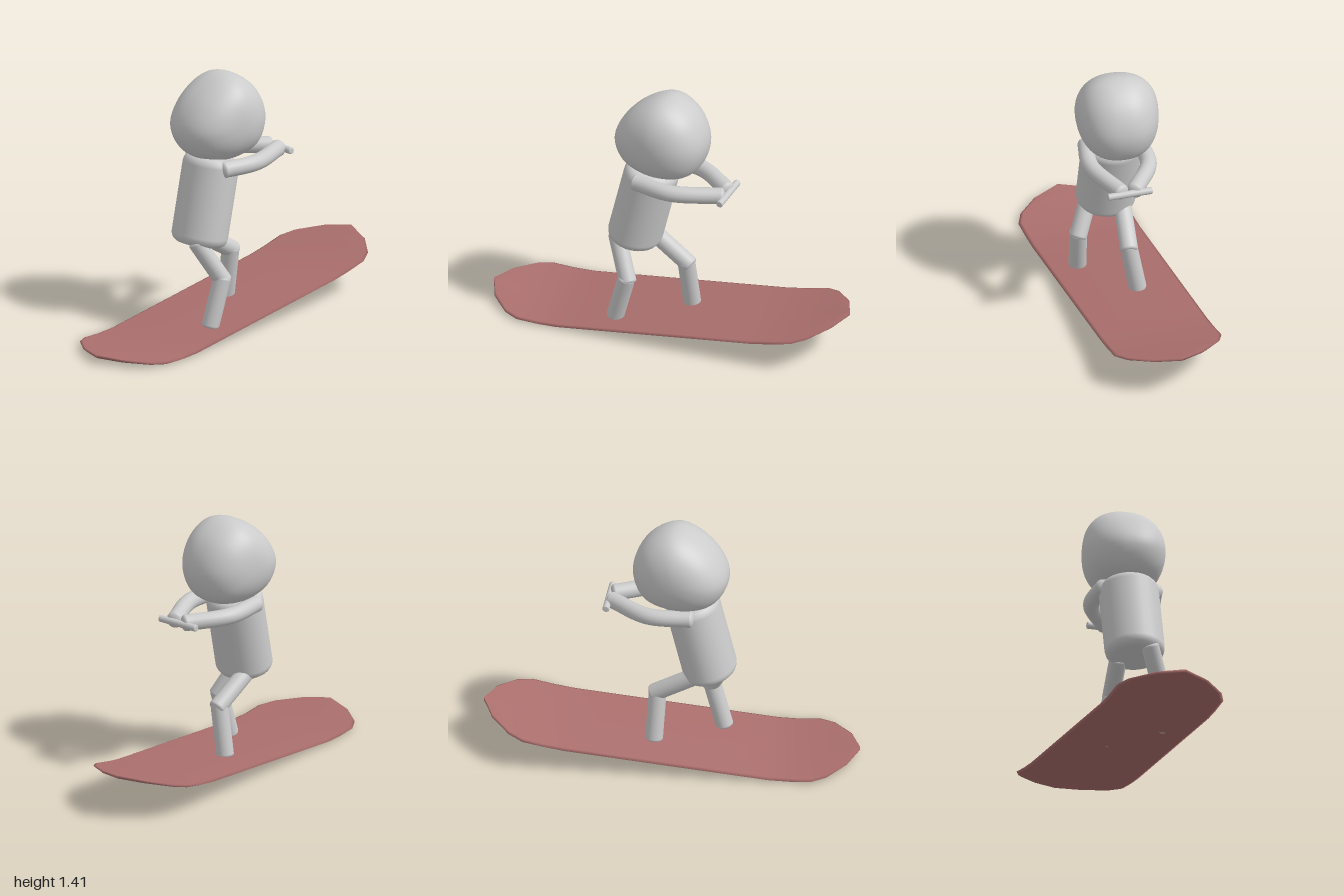
import * as THREE from 'three';
import { mergeVertices } from 'three/addons/utils/BufferGeometryUtils.js';

const grey = new THREE.MeshStandardMaterial({ color: 0xcccccc });
const red = new THREE.MeshStandardMaterial({ color: 0xaa6f6d });
const V = (x, y, z) => new THREE.Vector3(x, y, z);

// Merges seams so the surface shades smoothly
function smooth(geo) {
  geo.deleteAttribute('uv');
  geo.deleteAttribute('normal');
  const merged = mergeVertices(geo, 1e-5);
  merged.computeVertexNormals();
  return merged;
}

// Cylinder from a to b with softly rounded rims
function rod(name, a, b, r, rim, flatten = 1) {
  const len = a.distanceTo(b);
  const pts = [new THREE.Vector2(0, 0)];
  for (const [y0, start] of [[rim, -Math.PI / 2], [len - rim, 0]]) {
    for (let i = 0; i <= 4; i++) {
      const t = start + (i / 4) * Math.PI / 2;
      pts.push(new THREE.Vector2(r - rim + rim * Math.cos(t), y0 + rim * Math.sin(t)));
    }
  }
  pts.push(new THREE.Vector2(0, len));
  const geo = new THREE.LatheGeometry(pts, 28);
  geo.scale(flatten, 1, 1);
  const mesh = new THREE.Mesh(geo, grey);
  mesh.name = name;
  mesh.position.copy(a);
  mesh.quaternion.setFromUnitVectors(V(0, 1, 0), b.clone().sub(a).normalize());
  return mesh;
}

// Curved arm with rounded ends
function makeArm(name, points, r) {
  const arm = new THREE.Group();
  arm.name = name;
  const curve = new THREE.CatmullRomCurve3(points);
  arm.add(new THREE.Mesh(new THREE.TubeGeometry(curve, 28, r, 20), grey));
  for (const t of [0, 1]) {
    const cap = new THREE.Mesh(new THREE.SphereGeometry(r, 20, 14), grey);
    cap.position.copy(curve.getPoint(t));
    cap.quaternion.setFromUnitVectors(V(1, 0, 0), curve.getTangent(t));
    cap.scale.x = 0.5;
    arm.add(cap);
  }
  return arm;
}

function makeLeg(name, hip, knee, kneeLow, foot) {
  const leg = new THREE.Group();
  leg.name = name;
  leg.add(rod('thigh', hip, knee, 0.048, 0.015), rod('shin', foot, kneeLow, 0.048, 0.015));
  return leg;
}

// Head: sphere reshaped to a leaning side outline, fuller across its width
function makeHead() {
  const c = V(-0.05, 1.17, 0);
  const outline = new THREE.CatmullRomCurve3([
    V(0.21, 1.15, 0), V(0.14, 1.325, 0), V(-0.02, 1.41, 0), V(-0.215, 1.305, 0),
    V(-0.31, 1.13, 0), V(-0.245, 0.99, 0), V(-0.06, 0.93, 0), V(0.145, 0.985, 0),
  ].map((p) => p.sub(c)), true);
  const geo = new THREE.SphereGeometry(1, 48, 32).rotateX(Math.PI / 2);
  const pos = geo.attributes.position;
  for (let i = 0; i < pos.count; i++) {
    const x = pos.getX(i), y = pos.getY(i), z = pos.getZ(i);
    const u = (Math.atan2(y, x) / (2 * Math.PI) + 1) % 1;
    const s = Math.pow(Math.hypot(x, y), 2 / 2.3);
    const p = outline.getPoint(u).multiplyScalar(s);
    pos.setXYZ(i, p.x, p.y, Math.sign(z) * Math.pow(Math.abs(z), 2 / 2.3) * 0.222);
  }
  const head = new THREE.Mesh(smooth(geo), grey);
  head.name = 'head';
  head.position.set(c.x, c.y, 0.01);
  return head;
}

// Board: six-sided sections lofted along its length, tips curving up
function makeBoard() {
  const half = [[0.2, 0.305], [0.4, 0.305], [0.55, 0.305], [0.66, 0.305], [0.78, 0.305],
    [0.857, 0.267], [0.957, 0.152], [1.015, 0.004]];
  const stations = [...half.map(([u, w]) => [-u, w]).reverse(), [0, 0.305], ...half];
  const verts = [], index = [];
  for (const [u, w] of stations) {
    const lift = Math.max(0, Math.abs(u) - 0.55) / 0.465;
    const y = 0.077 + 0.112 * u + (u < 0 ? 0.083 : 0.057) * Math.pow(lift, 1.5);
    const inner = Math.max(w - 0.018, w * 0.5), t = 0.008;
    for (const [v, dy] of [[w, 0], [inner, t], [0, t], [-inner, t], [-w, 0], [-inner, -t], [0, -t], [inner, -t]]) {
      verts.push(u, y + dy, v);
    }
  }
  const n = 8;
  for (let s = 0; s < stations.length - 1; s++) {
    for (let k = 0; k < n; k++) {
      const a = s * n + k, b = s * n + (k + 1) % n;
      index.push(a, a + n, b, b, a + n, b + n);
    }
  }
  const last = (stations.length - 1) * n;
  for (let k = 1; k < n - 1; k++) index.push(0, k, k + 1, last, last + k + 1, last + k);
  const geo = new THREE.BufferGeometry();
  geo.setAttribute('position', new THREE.Float32BufferAttribute(verts, 3));
  geo.setIndex(index);
  geo.computeVertexNormals();
  const board = new THREE.Mesh(geo, red);
  board.name = 'board';
  board.rotation.y = 0.168;
  return board;
}

export function createModel() {
  const model = new THREE.Group();
  model.name = 'boardRider';
  model.add(makeBoard(), makeHead());
  model.add(rod('torso', V(-0.21, 0.48, 0.045), V(-0.1, 0.955, 0.025), 0.163, 0.05, 0.9));

  model.add(makeLeg('rearLeg', V(-0.28, 0.53, 0.11), V(-0.155, 0.29, 0.205), V(-0.165, 0.33, 0.2), V(-0.245, 0.05, 0.19)));
  model.add(makeLeg('leadLeg', V(-0.14, 0.5, -0.035), V(0.1, 0.35, -0.035), V(0.07, 0.385, -0.03), V(0.078, 0.085, -0.085)));

  // Arms reach forward to a short bar
  model.add(makeArm('nearArm', [V(-0.13, 0.917, 0.165), V(0.08, 0.915, 0.172), V(0.33, 0.908, 0.05)], 0.045));
  model.add(makeArm('farArm', [V(-0.13, 0.917, -0.115), V(0.1, 0.915, -0.138), V(0.325, 0.908, -0.025)], 0.045));
  model.add(rod('gripBar', V(0.337, 0.905, -0.118), V(0.362, 0.905, 0.128), 0.019, 0.006));
  return model;
}
